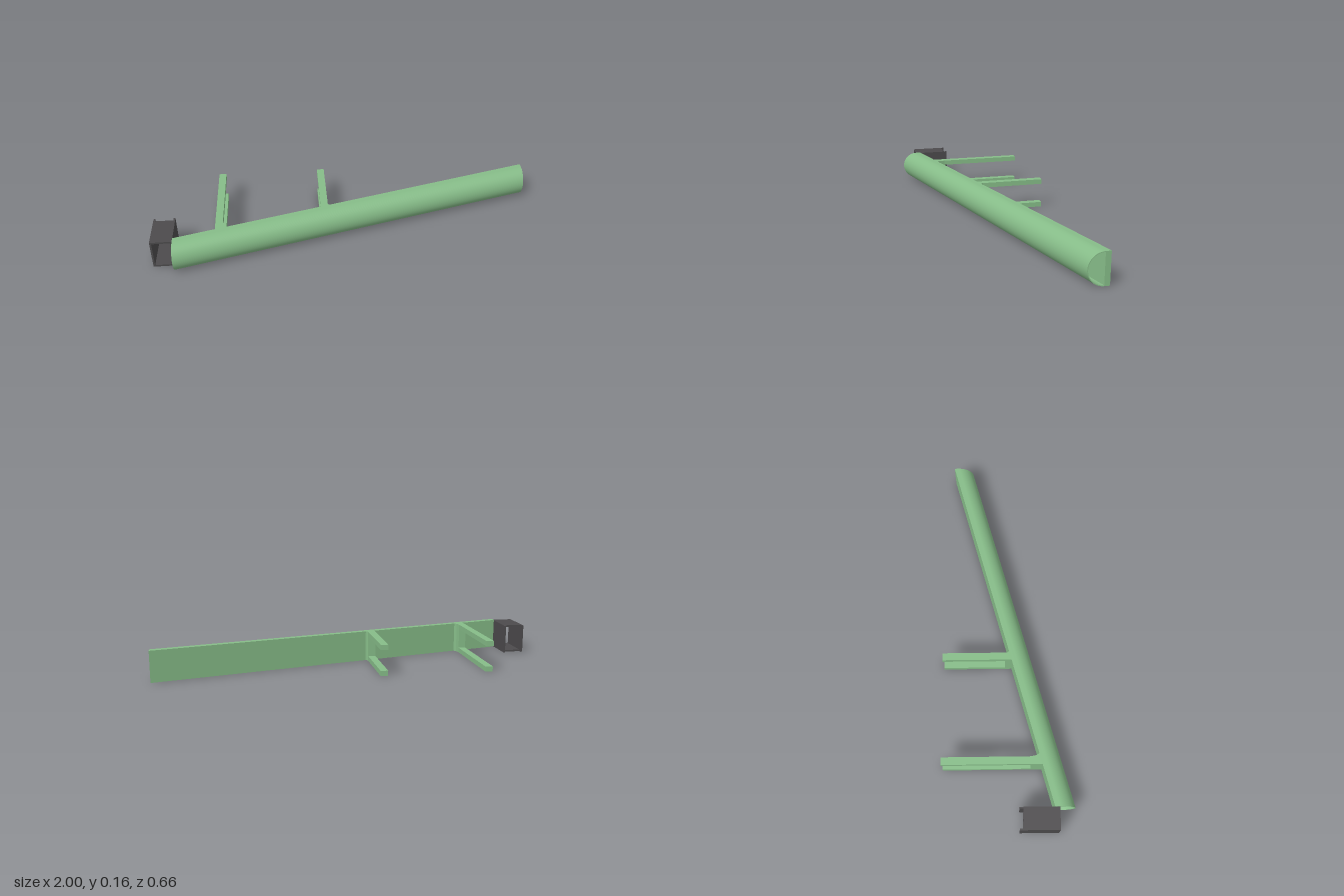
import * as THREE from 'three';

const R = 0.0785;            // half height of the bar
const SLOPE = -0.267;        // sideways drift of the bar, dz/dx
const X0 = -0.89, X1 = 1;
const axisZ = (x) => -0.253 + SLOPE * (x - X1);

// Extrude a (z, y) outline along x and shear it so both ends stay square to x
function shearedBar(shape) {
  const geo = new THREE.ExtrudeGeometry(shape, { depth: X1 - X0, bevelEnabled: false, curveSegments: 40 });
  const p = geo.attributes.position;
  for (let i = 0; i < p.count; i++) {
    const z = p.getX(i), y = p.getY(i), x = X1 - p.getZ(i);
    p.setXYZ(i, x, y + R, z + axisZ(x));
  }
  geo.computeVertexNormals();
  return geo;
}

// Extrude a plan outline of [x, z] points upwards from y0 to y1
function slab(points, y0, y1) {
  const shape = new THREE.Shape(points.map(([x, z]) => new THREE.Vector2(x, -z)));
  const geo = new THREE.ExtrudeGeometry(shape, { depth: y1 - y0, bevelEnabled: false });
  geo.rotateX(-Math.PI / 2);
  geo.translate(0, y0, 0);
  return geo;
}

export function createModel() {
  const model = new THREE.Group();
  const green = new THREE.MeshStandardMaterial({ color: 0x86bc88, side: THREE.DoubleSide });
  const dark = new THREE.MeshStandardMaterial({ color: 0x4c4a4c, side: THREE.DoubleSide });
  const add = (parent, name, geo, mat) => {
    const mesh = new THREE.Mesh(geo, mat);
    mesh.name = name;
    parent.add(mesh);
  };

  // Hollow half-round front shell, thin walled and open at both ends
  const wall = 0.004, r = R - wall;
  const arc = new THREE.Shape();
  arc.moveTo(0, -R);
  arc.absarc(0, 0, R, -Math.PI / 2, Math.PI / 2, false);
  arc.lineTo(0, r);
  arc.absarc(0, 0, r, Math.PI / 2, -Math.PI / 2, true);
  arc.closePath();
  add(model, 'roundedShell', shearedBar(arc), green);

  // Flat plate closing the back of the shell
  const t = 0.026;
  const plate = new THREE.Shape([[-t, -R], [0, -R], [0, R], [-t, R]].map(([z, y]) => new THREE.Vector2(z, y)));
  add(model, 'backPlate', shearedBar(plate), green);

  // C-shaped brackets: two arms joined by an upright against the plate
  const backZ = (x) => axisZ(x) - t + 0.004;
  for (const [name, x, flare] of [['rightBracket', -0.685, 0.05], ['middleBracket', -0.145, 0.018]]) {
    const bracket = new THREE.Group();
    bracket.name = name;
    const w = 0.038, xb = x + w, xf = xb + 0.018;
    const foot = [[xf, backZ(xf)], [xb + 0.006, backZ(xb) - flare * 0.45], [xb, backZ(xb) - flare]];
    const arm = [[x, -0.33], [x, backZ(x)], ...foot, [xb, -0.33]];
    add(bracket, 'lowerArm', slab(arm, 0, 0.026), green);
    add(bracket, 'upperArm', slab(arm, 2 * R - 0.026, 2 * R), green);
    const zi = backZ(xb) - Math.max(flare, 0.027);
    add(bracket, 'upright', slab([[x, zi], [x, backZ(x)], ...foot, [xb, zi]], 0.026, 2 * R - 0.026), green);
    model.add(bracket);
  }

  // Open rectangular sleeve, its side walls reaching a little further back
  const sleeve = new THREE.Group();
  sleeve.name = 'endSleeve';
  const box = (name, x0, x1, y0, y1, z0, z1) => {
    const geo = new THREE.BoxGeometry(x1 - x0, y1 - y0, z1 - z0);
    geo.translate((x0 + x1) / 2, (y0 + y1) / 2, (z0 + z1) / 2);
    add(sleeve, name, geo, dark);
  };
  const s = 0.009;
  box('outerWall', -1, -1 + s, 0.003, 0.154, 0.055, 0.25);
  box('innerWall', X0 - s, X0, 0.003, 0.154, 0.055, 0.25);
  box('topWall', -1 + s, X0 - s, 0.154 - s, 0.154, 0.073, 0.25);
  box('bottomWall', -1 + s, X0 - s, 0.003, 0.003 + s, 0.073, 0.25);
  model.add(sleeve);

  return model;
}
